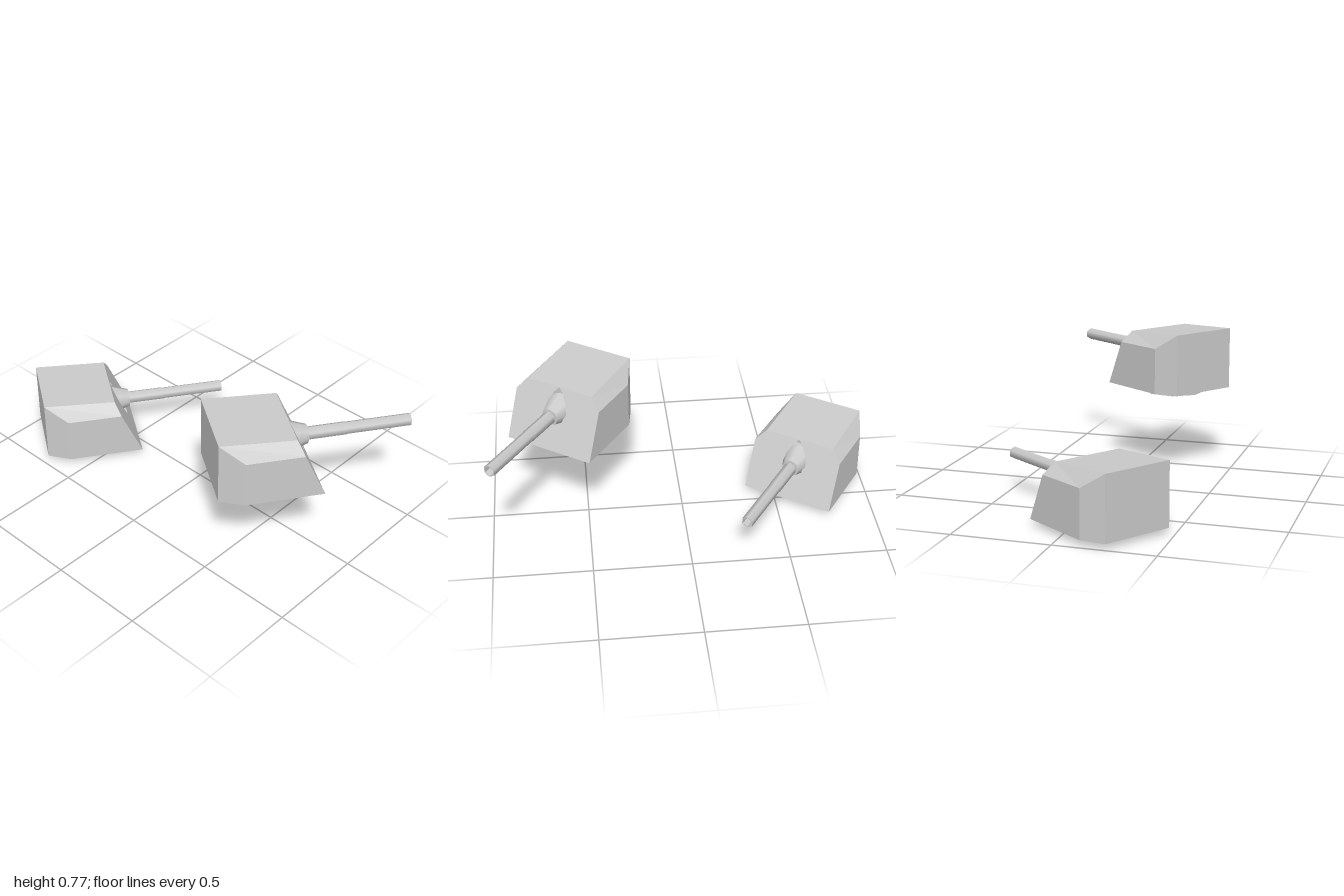
import * as THREE from 'three';

const smooth = new THREE.MeshStandardMaterial({ color: 0xcccccc, side: THREE.DoubleSide });
const flat = new THREE.MeshStandardMaterial({ color: 0xcccccc, side: THREE.DoubleSide, flatShading: true });

function part(name, geometry, material) {
  const mesh = new THREE.Mesh(geometry, material);
  mesh.name = name;
  return mesh;
}

// Depth of the sloping front plate at height y (the gun points along -z)
const frontZ = (y) => -0.273 + (y - 0.03) * 0.44;

// Armoured body without its front plate: flat quads over named corners
function hullGeometry() {
  const corner = {
    rearLow: [0.188, 0.03, 0.236], rearTop: [0.188, 0.357, 0.236],
    sideLow: [0.245, 0.03, 0.12], sideTop: [0.245, 0.275, 0.12],
    frontLow: [0.245, 0.03, frontZ(0.03)], frontMid: [0.245, 0.273, frontZ(0.273)],
    roofFront: [0.19, 0.333, frontZ(0.333)],
  };
  const right = (n) => corner[n];
  const left = (n) => [-corner[n][0], corner[n][1], corner[n][2]];
  const pos = [];
  const quad = (a, b, c, d) => pos.push(...a, ...b, ...c, ...a, ...c, ...d);

  // Side faces, mirrored with the corner order reversed
  for (const names of [
    ['rearLow', 'sideLow', 'sideTop', 'rearTop'],
    ['sideLow', 'frontLow', 'frontMid', 'sideTop'],
    ['rearTop', 'sideTop', 'frontMid', 'roofFront'],
  ]) {
    quad(...names.map(right));
    quad(...names.map(left).reverse());
  }
  // Faces spanning the full width: rear, roof and two floor strips
  for (const [a, b] of [['rearLow', 'rearTop'], ['rearTop', 'roofFront'],
    ['sideLow', 'rearLow'], ['frontLow', 'sideLow']]) {
    quad(left(a), right(a), right(b), left(b));
  }
  const geometry = new THREE.BufferGeometry();
  geometry.setAttribute('position', new THREE.Float32BufferAttribute(pos, 3));
  geometry.computeVertexNormals();
  return geometry;
}

// Front plate with the gun slot, leaned back onto the slope
function frontPlateGeometry() {
  const mirrored = (half) => [...half, ...half.map(([x, y]) => [-x, y]).reverse()]
    .map(([x, y]) => new THREE.Vector2(x, y));
  const shape = new THREE.Shape(mirrored([[0.245, 0.03], [0.245, 0.273], [0.19, 0.333]]));
  const slot = [[0.028, 0.128], [0.044, 0.142], [0.05, 0.18], [0.05, 0.26], [0.03, 0.30], [0.003, 0.331]];
  shape.holes.push(new THREE.Path(mirrored(slot)));
  const geometry = new THREE.ShapeGeometry(shape);
  const p = geometry.attributes.position;
  for (let i = 0; i < p.count; i++) p.setXYZ(i, -p.getX(i), p.getY(i), frontZ(p.getY(i)));
  geometry.computeVertexNormals();
  return geometry;
}

// Lathe turned around the gun axis; points are [radius, distance forward]
function gunLathe(points, sides) {
  const geometry = new THREE.LatheGeometry(points.map(([r, d]) => new THREE.Vector2(r, d)), sides);
  return geometry.rotateX(-Math.PI / 2).translate(0, 0.213, 0);
}

function createTurret(name) {
  const turret = new THREE.Group();
  turret.name = name;

  // Open octagonal ring under the body
  const ring = new THREE.CylinderGeometry(0.168, 0.168, 0.03, 8, 1, true).translate(0, 0.015, 0);
  turret.add(part('turretRing', ring, smooth));

  turret.add(part('hull', hullGeometry(), flat));
  turret.add(part('frontPlate', frontPlateGeometry(), flat));

  // Flared collar filling the slot
  const collar = [[0.085, 0.135], [0.075, 0.165], [0.06, 0.205], [0.047, 0.243]];
  turret.add(part('gunCollar', gunLathe(collar, 8), smooth));
  turret.add(part('collarFace', gunLathe([[0.047, 0.243], [0.03, 0.244]], 8), flat));

  // Six-sided barrel with a hollow muzzle
  const barrel = [[0.034, 0.2], [0.034, 0.436], [0.032, 0.437], [0.032, 0.765]];
  turret.add(part('barrel', gunLathe(barrel, 6), smooth));
  turret.add(part('muzzleRim', gunLathe([[0.032, 0.765], [0.027, 0.765]], 6), flat));
  turret.add(part('bore', gunLathe([[0.027, 0.765], [0.027, 0.7], [0, 0.7]], 6), flat));
  return turret;
}

export function createModel() {
  const model = new THREE.Group();
  model.name = 'turretPair';
  // Two identical turrets, one raised above the other, both trained the same way
  for (const [name, x, y] of [['lowerTurret', -0.71, 0], ['upperTurret', 0.535, 0.413]]) {
    const turret = createTurret(name);
    turret.position.set(x, y, 0.17);
    turret.rotation.y = -0.6;
    model.add(turret);
  }
  return model;
}
